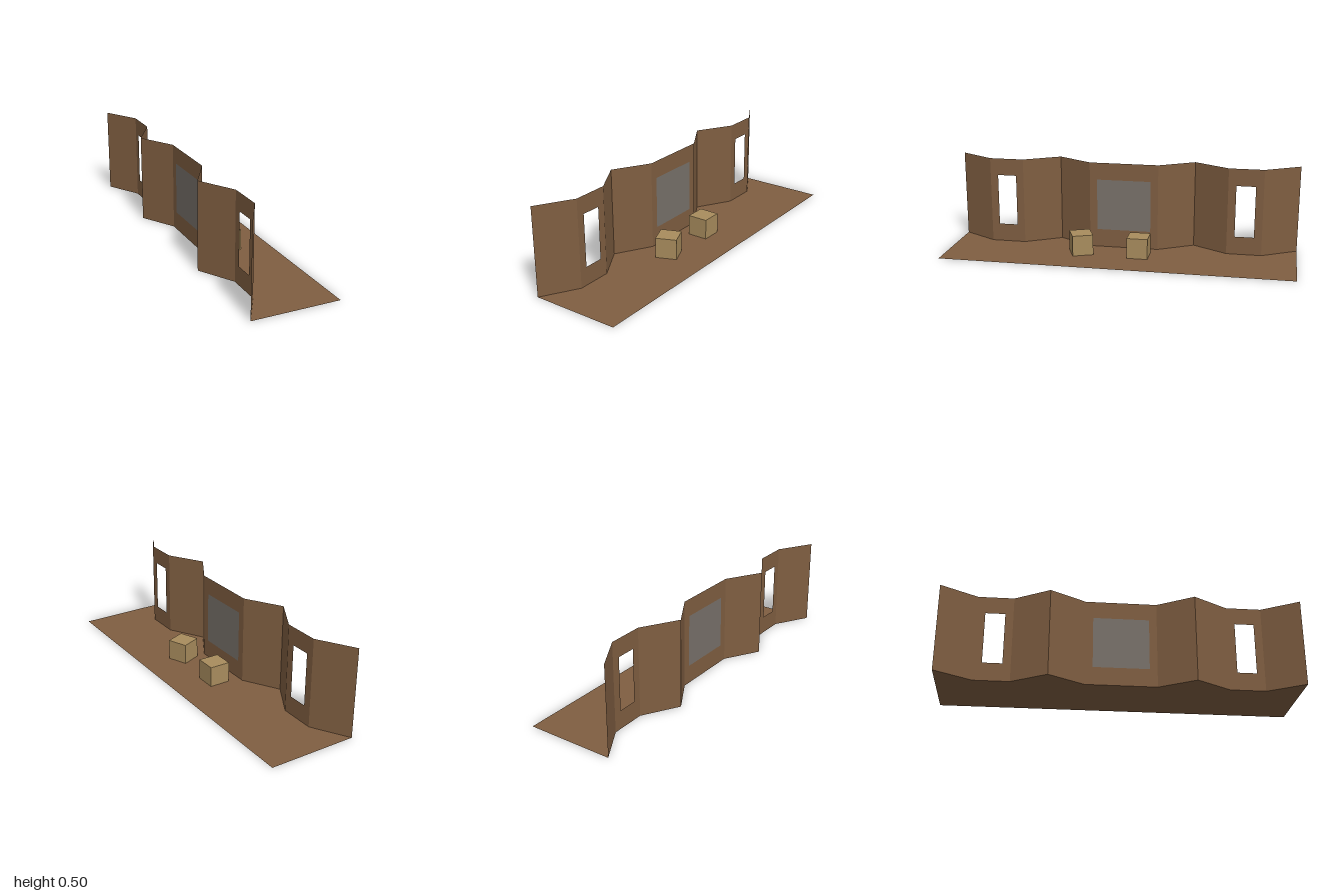
import * as THREE from 'three';

const mat = (name, color, side = THREE.FrontSide) => {
  const m = new THREE.MeshStandardMaterial({ color, side });
  m.name = name;
  return m;
};

// Rectangle outline on a Shape or Path
const rect = (path, x0, y0, x1, y1) =>
  path.moveTo(x0, y0).lineTo(x1, y0).lineTo(x1, y1).lineTo(x0, y1).closePath();

export function createModel() {
  const group = new THREE.Group();
  const wood = mat('brown wood', 0x7f5e41, THREE.DoubleSide);
  const grey = mat('grey panel', 0x78716a, THREE.DoubleSide);
  const crateWood = mat('tan crate', 0xa88c5d);

  const H = 0.505, sill = 0.105, head = 0.405;
  // Zigzag ground plan of the wall, as [x, z] from front to back
  const half = [[-0.25, 1], [-0.132, 0.8], [-0.132, 0.6], [-0.25, 0.4], [-0.132, 0.2]];
  const plan = [...half, ...half.map(([x, z]) => [x, -z]).reverse()];

  const add = (name, geometry, material, parent = group) => {
    const mesh = new THREE.Mesh(geometry, material);
    mesh.name = name;
    parent.add(mesh);
    return mesh;
  };

  // Wall panels: the flat ones have an opening, the middle one is filled
  const wall = new THREE.Group();
  wall.name = 'foldingWall';
  group.add(wall);
  for (let i = 0; i < plan.length - 1; i++) {
    const [x0, z0] = plan[i], [x1, z1] = plan[i + 1];
    const length = Math.hypot(x1 - x0, z1 - z0);
    const panel = new THREE.Group();
    panel.name = 'wallPanel';
    panel.position.set(x0, 0, z0);
    panel.rotation.y = Math.atan2(z0 - z1, x1 - x0);
    wall.add(panel);

    const shape = rect(new THREE.Shape(), 0, 0, length, H);
    if (x0 === x1) {
      const middle = length > 0.3;
      const w = middle ? 0.157 : 0.055, c = length / 2;
      shape.holes.push(rect(new THREE.Path(), c - w, sill, c + w, head));
      if (middle) {
        const pane = rect(new THREE.Shape(), c - w, sill, c + w, head);
        add('centrePane', new THREE.ShapeGeometry(pane), grey, panel);
      }
    }
    add('panelFace', new THREE.ShapeGeometry(shape), wood, panel);
  }

  // Floor follows the wall on one side and is straight on the other
  const outline = [...plan, [0.25, -1], [0.25, 1]].map(([x, z]) => new THREE.Vector2(x, -z));
  const floor = new THREE.ShapeGeometry(new THREE.Shape(outline));
  add('floor', floor.rotateX(-Math.PI / 2), wood);

  // Two crates, one turned
  for (const [z, turn] of [[-0.11, 0], [0.225, 0.39]]) {
    const crate = add('crate', new THREE.BoxGeometry(0.119, 0.118, 0.119), crateWood);
    crate.position.set(0, 0.061, z);
    crate.rotation.y = turn;
  }
  return group;
}
